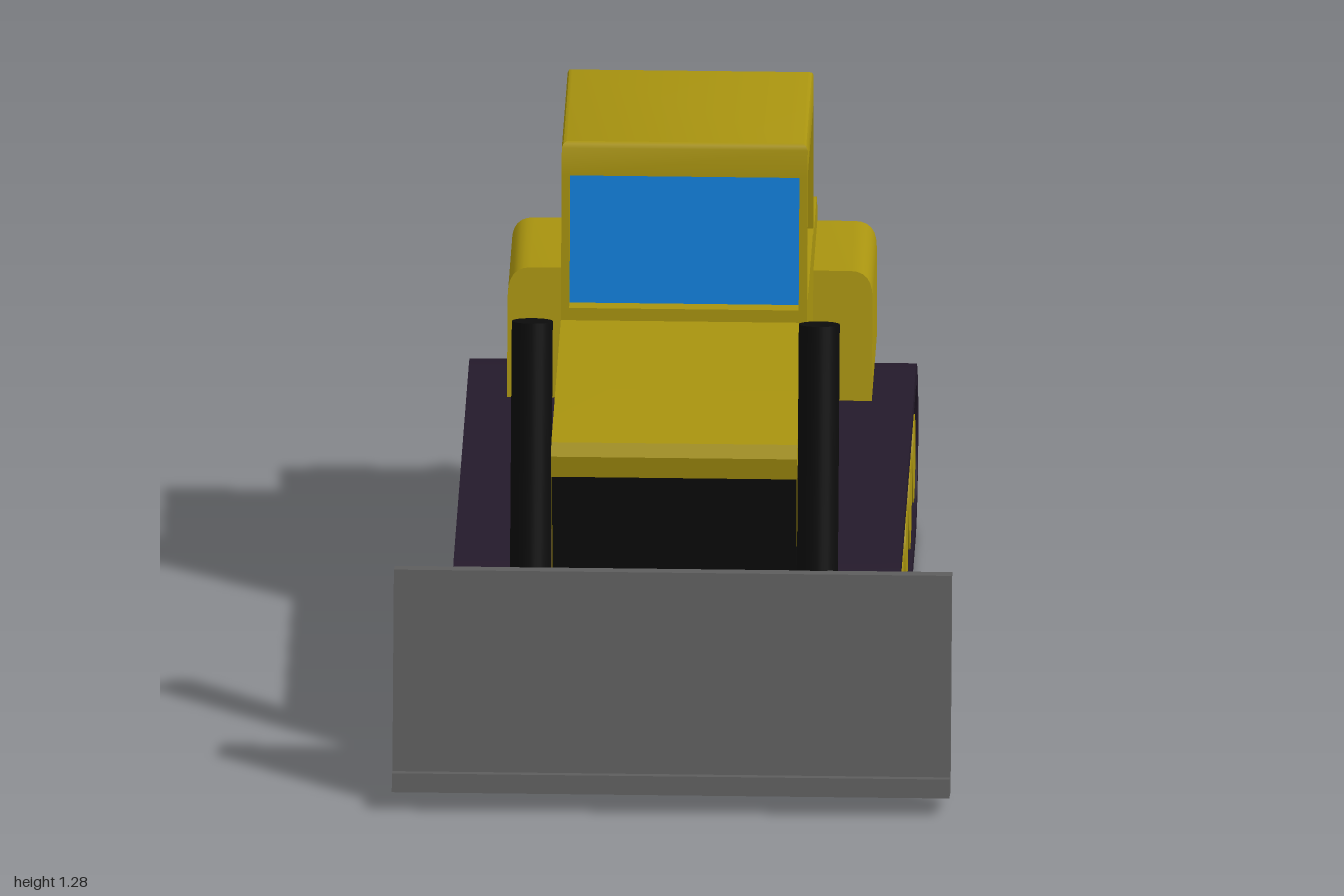
import * as THREE from 'three';
import { toCreasedNormals } from 'three/addons/utils/BufferGeometryUtils.js';

const V = (x, y, z) => new THREE.Vector3(x, y, z);
const paint = (color) => new THREE.MeshStandardMaterial({ color });

// Extrudes a (z, y) outline across the model from x0 to x1.
function sideExtrude(shape, x0, x1, curveSegments = 8) {
  const geo = new THREE.ExtrudeGeometry(shape, { depth: x1 - x0, bevelEnabled: false, curveSegments });
  return toCreasedNormals(geo.rotateY(-Math.PI / 2).translate(x1, 0, 0), 0.6);
}

const outline = (points) => new THREE.Shape(points.map(([z, y]) => new THREE.Vector2(z, y)));

// Closed skin through rings stacked upwards, each counter-clockwise from above.
function loft(rings) {
  const n = rings[0].length, index = [], last = (rings.length - 1) * n;
  for (let r = 0; r < last; r += n) {
    for (let j = 0; j < n; j++) {
      const k = (j + 1) % n;
      index.push(r + j, r + k, r + n + k, r + j, r + n + k, r + n + j);
    }
  }
  for (let j = 1; j < n - 1; j++) index.push(0, j + 1, j, last, last + j, last + j + 1);
  const geo = new THREE.BufferGeometry().setFromPoints(rings.flat());
  geo.setIndex(index);
  return toCreasedNormals(geo.toNonIndexed(), 0.6);
}

const rectRing = (x0, x1, y, back, front) =>
  [V(x1, y, front), V(x1, y, back), V(x0, y, back), V(x0, y, front)];

// Rounded-end track outline, inset from the outer edge.
function stadium(inset, PathType = THREE.Shape) {
  const r = 0.222 - inset, p = new PathType();
  p.moveTo(-0.778, 0.222 - r);
  p.lineTo(0.448, 0.222 - r);
  p.absarc(0.448, 0.222, r, -Math.PI / 2, Math.PI / 2, false);
  p.lineTo(-0.778, 0.222 + r);
  p.absarc(-0.778, 0.222, r, Math.PI / 2, Math.PI * 1.5, false);
  return p;
}

export function createModel() {
  const model = new THREE.Group();
  const yellow = paint(0xa8930f), black = paint(0x0c0c0c), rubber = paint(0x241a2b);
  const glass = paint(0x1282de), steel = paint(0x606060), red = paint(0xdd5540);
  const add = (name, geo, mat) => {
    const mesh = new THREE.Mesh(geo, mat);
    mesh.name = name;
    model.add(mesh);
    return mesh;
  };

  // Body with chamfered nose and rounded tail
  const body = outline([[-0.95, 0.46], [0.655, 0.46], [0.69, 0.765], [0.705, 0.765], [0.71, 0.82], [0.69, 0.85]]);
  body.lineTo(-0.88, 0.85);
  body.quadraticCurveTo(-0.95, 0.85, -0.95, 0.77);
  add('body', sideExtrude(body, -0.3, 0.3), yellow);

  // Radiator and undercarriage
  add('radiator', sideExtrude(outline([[0.64, 0.465], [0.661, 0.465], [0.695, 0.763], [0.67, 0.763]]), -0.298, 0.298), black);
  add('undercarriage', new THREE.BoxGeometry(0.5, 0.3, 1.48).translate(0, 0.31, -0.17), black);

  // Cab: sill, sloped pillars, roof and glass core
  const slope = (y) => -0.09 - (y - 0.85) * 0.184;
  const rear = -0.65, sill = 0.88, head = 1.205;
  add('cabSill', loft([0.84, sill].map((y) => rectRing(-0.3, 0.3, y, rear, slope(y)))), yellow);
  add('cabRoof', loft([[head, 0], [1.272, 0], [1.281, 0.004], [1.285, 0.012]].map(([y, i]) =>
    rectRing(-0.3 + i, 0.3 - i, y, rear + i, slope(y) - i))), yellow);
  add('cabGlass', loft([sill, head].map((y) => rectRing(-0.28, 0.28, y, -0.62, slope(y) - 0.035))), glass);

  for (const s of [-1, 1]) {
    const side = s > 0 ? 'left' : 'right';
    const span = (a, b) => (s > 0 ? [a, b] : [-b, -a]);

    const [p0, p1] = span(0.28, 0.3);
    add(side + 'FrontPillar', loft([sill, head].map((y) => rectRing(p0, p1, y, slope(y) - 0.035, slope(y)))), yellow);
    add(side + 'RearPillar', loft([sill, head].map((y) => rectRing(p0, p1, y, rear, -0.62))), yellow);

    // Rear fender, rounded outside, front face leaning back
    const profile = new THREE.Shape();
    profile.moveTo(s * 0.28, 0.46);
    profile.lineTo(s * 0.445, 0.46);
    profile.lineTo(s * 0.445, 0.7);
    profile.quadraticCurveTo(s * 0.445, 0.765, s * 0.39, 0.765);
    profile.lineTo(s * 0.28, 0.765);
    const fender = new THREE.ExtrudeGeometry(profile, { depth: 0.41, bevelEnabled: false, curveSegments: 6 });
    fender.translate(0, 0, -0.95);
    const pos = fender.attributes.position;
    for (let i = 0; i < pos.count; i++) {
      if (pos.getZ(i) > -0.7) pos.setZ(i, -0.54 - (pos.getY(i) - 0.46) * 0.295);
    }
    add(side + 'Fender', toCreasedNormals(fender, 0.6), yellow);

    // Track: hollow belt over a recessed side plate
    const belt = stadium(0);
    belt.holes.push(stadium(0.052, THREE.Path));
    add(side + 'TrackBelt', sideExtrude(belt, ...span(0.18, 0.545)), rubber);
    add(side + 'TrackPlate', sideExtrude(stadium(0.05), ...span(0.181, 0.41)), rubber);

    // Road wheels
    for (let i = 0; i < 5; i++) {
      const wheel = new THREE.CylinderGeometry(0.108, 0.108, 0.16, 32).rotateZ(Math.PI / 2);
      add(side + 'Wheel' + (i + 1), wheel.translate(s * 0.462, 0.22, 0.445 - i * 0.301), yellow);
    }

    // Blade lift ram
    const foot = V(s * 0.35, 0.183, 0.808), tip = V(s * 0.35, 1.118, 0.566);
    const ram = add(side + 'Ram', new THREE.CylinderGeometry(0.05, 0.05, foot.distanceTo(tip), 24), black);
    ram.position.copy(foot).lerp(tip, 0.5);
    ram.quaternion.setFromUnitVectors(V(0, 1, 0), tip.clone().sub(foot).normalize());
  }

  // Blade with forward cutting lip
  add('blade', sideExtrude(outline([[0.757, 0.547], [0.895, 0.025], [1.0, 0.05], [0.988, 0.095],
    [0.945, 0.083], [0.825, 0.565]]), -0.68, 0.68), steel);

  // Exhaust pipe, mitred and bent backwards: [y, z, tilt]
  const pipe = [[0.84, -0.831, 0], [0.95, -0.831, -0.2], [1.035, -0.858, -0.4]];
  add('exhaust', loft(pipe.map(([y, z, tilt]) => Array.from({ length: 20 }, (_, i) => {
    const a = (i / 20) * Math.PI * 2;
    return V(0.045 * Math.cos(a), 0, -0.045 * Math.sin(a)).applyAxisAngle(V(1, 0, 0), tilt).add(V(0.18, y, z));
  }))), red);

  return model;
}
